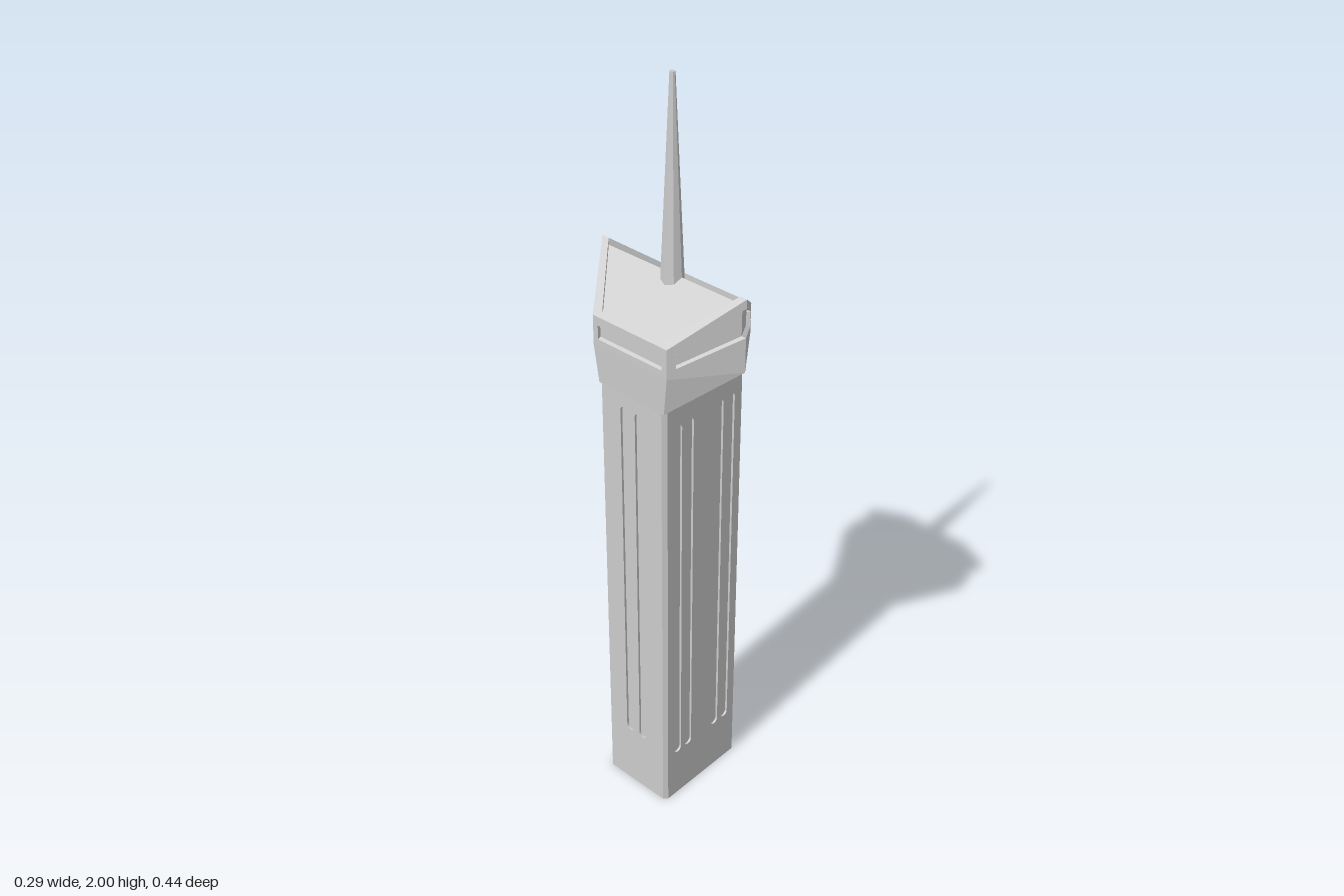
import * as THREE from 'three';

const material = new THREE.MeshStandardMaterial({ color: 0xcccccc, flatShading: true });

function add(group, name, geometry) {
  const mesh = new THREE.Mesh(geometry, material);
  mesh.name = name;
  group.add(mesh);
  return mesh;
}

// Upright prism from plan points [x, z]
function prism(points, y0, y1) {
  const shape = new THREE.Shape(points.map(([x, z]) => new THREE.Vector2(x, -z)));
  const g = new THREE.ExtrudeGeometry(shape, { depth: y1 - y0, bevelEnabled: false });
  return g.rotateX(-Math.PI / 2).translate(0, y0, 0);
}

// Six-sided plan with points at front and back; y falls away from the centre ridge
function hexRing(halfX, cornerZ, pointZ, yCentre, slope = 0) {
  const plan = [[0, pointZ], [halfX, cornerZ], [halfX, -cornerZ], [0, -pointZ], [-halfX, -cornerZ], [-halfX, cornerZ]];
  return plan.map(([x, z]) => [x, yCentre - slope * Math.abs(x), z]);
}

// Stitch six-point rings from bottom to top and close the top with a ridged roof
function hexLoft(rings) {
  const pos = [];
  const tri = (...corners) => corners.forEach((c) => pos.push(...c));
  for (let r = 0; r < rings.length - 1; r++) {
    const b = rings[r], t = rings[r + 1];
    for (let i = 0; i < 6; i++) {
      const j = (i + 1) % 6;
      if (j % 3 === 0) {
        tri(b[i], b[j], t[j]);
        tri(b[i], t[j], t[i]);
      } else {
        tri(b[i], b[j], t[i]);
        tri(b[j], t[j], t[i]);
      }
    }
  }
  const p = rings[rings.length - 1];
  for (const [a, b, c, d] of [[0, 1, 2, 3], [3, 4, 5, 0]]) {
    tri(p[a], p[b], p[c]);
    tri(p[a], p[c], p[d]);
  }
  const g = new THREE.BufferGeometry();
  g.setAttribute('position', new THREE.Float32BufferAttribute(pos, 3));
  g.computeVertexNormals();
  return g;
}

// Wall facing with tall round-ended slots cut through it
function slottedPanel(halfWidth, height, slots, y0, y1, depth) {
  const shape = new THREE.Shape([
    new THREE.Vector2(-halfWidth, 0), new THREE.Vector2(halfWidth, 0),
    new THREE.Vector2(halfWidth, height), new THREE.Vector2(-halfWidth, height),
  ]);
  const r = 0.0125;
  for (const x of slots) {
    const hole = new THREE.Path();
    hole.absarc(x, y1 - r, r, 0, Math.PI, false);
    hole.absarc(x, y0 + r, r, Math.PI, Math.PI * 2, false);
    hole.closePath();
    shape.holes.push(hole);
  }
  return new THREE.ExtrudeGeometry(shape, { depth, bevelEnabled: false, curveSegments: 8 });
}

export function createModel() {
  const tower = new THREE.Group();
  tower.name = 'tower';

  // Shaft core with chamfered corners, set back where the facings sit
  const X = 0.14, Z = 0.105, c = 0.01, d = 0.006, thin = 0.001;
  add(tower, 'shaftCore', prism([
    [-X + c, Z - d], [X - c, Z - d], [X - thin, Z - c], [X - thin, -Z + c],
    [X - c, -Z], [-X + c, -Z], [-X + d, -Z + c], [-X + d, Z - c],
  ], 0, 1.34));

  // Chamfer strips along the four corners
  for (const sx of [-1, 1]) for (const sz of [-1, 1]) {
    const pts = [[X - c, Z], [X, Z - c], [X - c, Z - c]].map(([x, z]) => [x * sx, z * sz]);
    add(tower, 'cornerChamfer', prism(pts, 0, 1.3));
  }

  // Slotted facings: four slots in front, two on each side
  const front = add(tower, 'frontFacing',
    slottedPanel(X - c, 1.27, [-0.0925, -0.0525, 0.0525, 0.0925], 0.15, 1.2, d));
  front.position.z = Z - d;
  const sideSlots = [-0.023, 0.023];
  const left = add(tower, 'leftSideFacing', slottedPanel(Z - c, 1.35, sideSlots, 0.18, 1.215, thin));
  left.rotation.y = Math.PI / 2;
  left.position.x = X - thin;
  const right = add(tower, 'rightSideFacing', slottedPanel(Z - c, 1.35, sideSlots, 0.18, 1.215, d));
  right.rotation.y = -Math.PI / 2;
  right.position.x = -X + d;

  // Crown: flared underside, base band, recessed band, parapet and ridged roof
  const W = 0.143, C = 0.115, P = 0.222;
  add(tower, 'crown', hexLoft([
    hexRing(X, Z - 0.002, Z, 1.25),
    hexRing(W, C, P, 1.35),
    hexRing(W, C, P, 1.44, 0.5),
    hexRing(0.135, 0.109, 0.209, 1.44, 0.5),
    hexRing(0.135, 0.109, 0.209, 1.515, 0.77),
    hexRing(W, C, P, 1.515, 0.77),
    hexRing(W, C, P, 1.538, 0.77),
    hexRing(0.13, 0.097, 0.202, 1.538, 0.77),
    hexRing(0.13, 0.097, 0.202, 1.52, 0.77),
  ]));

  // Posts closing the recessed band at the four corners
  for (const sx of [-1, 1]) for (const sz of [-1, 1]) {
    const pts = [[W, 0.1], [W, C], [0.126, 0.1277], [0.12, 0.115], [0.13, 0.1]];
    add(tower, 'crownPost', prism(pts.map(([x, z]) => [x * sx, z * sz]), 1.36, 1.415));
  }

  // Eight-sided tapering spire
  const spire = add(tower, 'spire', new THREE.CylinderGeometry(0.006, 0.026, 0.5, 8));
  spire.scale.z = 1.15;
  spire.position.y = 1.75;

  return tower;
}
